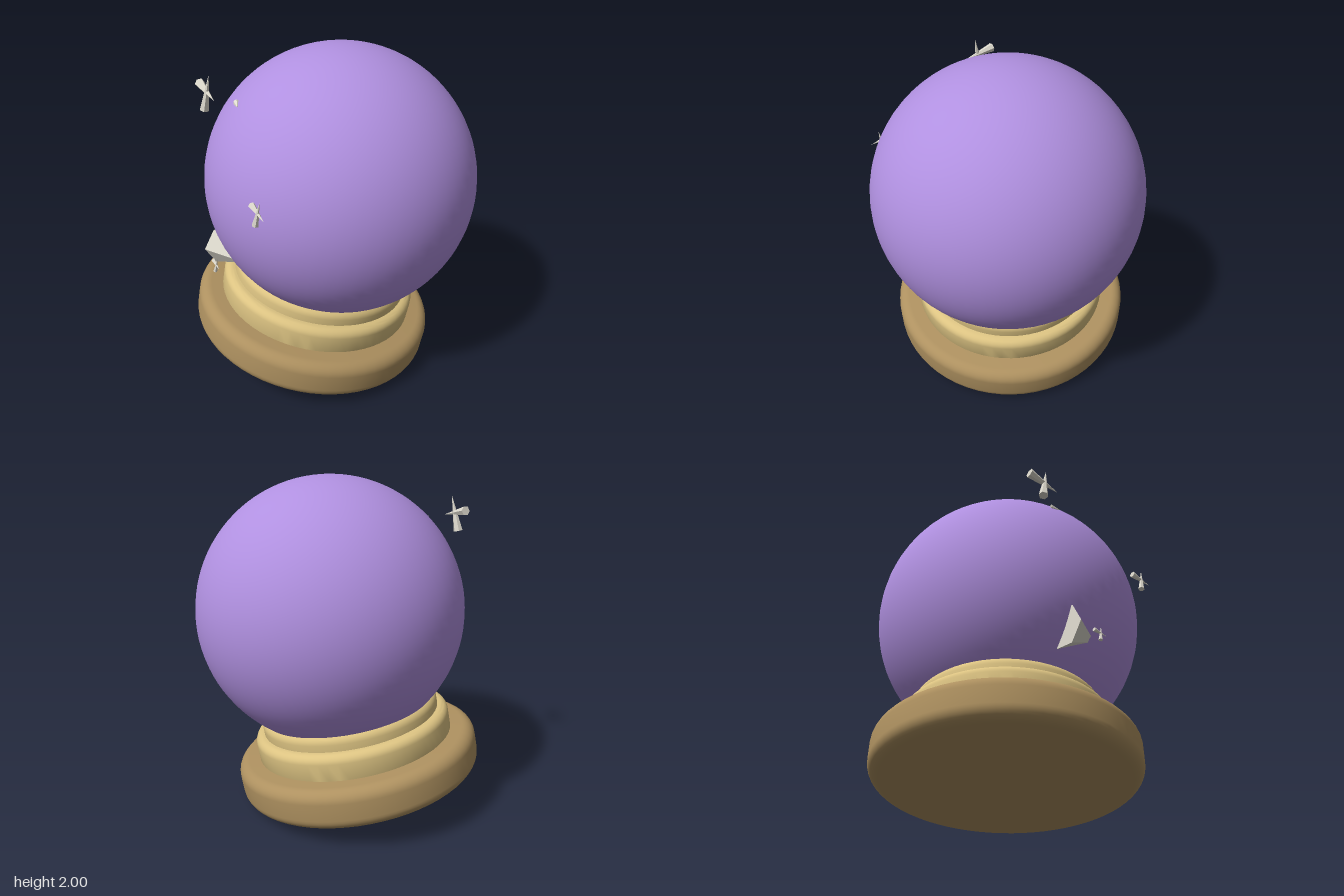
import * as THREE from 'three';
import { toCreasedNormals } from 'three/addons/utils/BufferGeometryUtils.js';

const mat = (name, color, opts = {}) => {
  const m = new THREE.MeshStandardMaterial({ color, ...opts });
  m.name = name;
  return m;
};

// Turned disc with rounded rims; heights are measured along the stand axis.
function roundedDisc(radius, bottom, top, lowerBevel, upperBevel) {
  const pts = [new THREE.Vector2(0, bottom)];
  const steps = 8;
  const arc = (cy, b, from) => {
    for (let i = 0; i <= steps; i++) {
      const a = from + (i / steps) * Math.PI / 2;
      pts.push(new THREE.Vector2(radius - b + b * Math.cos(a), cy + b * Math.sin(a)));
    }
  };
  arc(bottom + lowerBevel, lowerBevel, -Math.PI / 2);
  arc(top - upperBevel, upperBevel, 0);
  pts.push(new THREE.Vector2(0, top));
  return toCreasedNormals(new THREE.LatheGeometry(pts, 64), 0.6);
}

// Six-sided spike running from the centre of its base to its tip.
function spike(base, tip, radius, material, name) {
  const a = new THREE.Vector3(...base), b = new THREE.Vector3(...tip);
  const dir = b.clone().sub(a);
  const geo = toCreasedNormals(new THREE.ConeGeometry(radius, dir.length(), 6), 0.7);
  const mesh = new THREE.Mesh(geo, material);
  mesh.name = name;
  mesh.position.copy(a).add(b).multiplyScalar(0.5);
  mesh.quaternion.setFromUnitVectors(new THREE.Vector3(0, 1, 0), dir.normalize());
  return mesh;
}

export function createModel() {
  const model = new THREE.Group();
  model.name = 'crystalBall';
  const glass = mat('purple glass', 0xb090e0);
  const gold = mat('pale gold', 0xdcc382);
  const bronze = mat('bronze', 0xae9160);
  const silver = mat('silver', 0xdedace);

  // Ball and stand share one leaning axis
  const body = new THREE.Group();
  body.name = 'leaningBody';
  body.position.set(0.036, 1.19, -0.036);
  body.quaternion.setFromUnitVectors(
    new THREE.Vector3(0, 1, 0), new THREE.Vector3(0.132, 0.982, -0.132).normalize());
  model.add(body);
  const add = (name, geo, material) => {
    const mesh = new THREE.Mesh(geo, material);
    mesh.name = name;
    body.add(mesh);
  };
  add('ball', new THREE.SphereGeometry(0.81, 64, 48), glass);
  add('standFoot', roundedDisc(0.757, -1.08, -0.84, 0.07, 0.07), bronze);
  add('standMiddle', roundedDisc(0.615, -0.87, -0.69, 0.02, 0.05), gold);
  add('standCollar', roundedDisc(0.555, -0.72, -0.595, 0.02, 0.055), gold);

  // Sparkles: two crossed spikes each
  const sparkles = [
    [-0.287, 1.768, 0.642, 1],
    [0.412, 1.35, 0.747, 0.67],
    [-0.044, 0.826, 0.787, 0.42],
  ];
  sparkles.forEach(([x, y, z, s]) => {
    const sparkle = new THREE.Group();
    sparkle.name = 'sparkle';
    sparkle.position.set(x, y, z);
    sparkle.scale.setScalar(s);
    sparkle.add(
      spike([-0.105, 0.024, -0.012], [0.105, -0.02, 0.008], 0.028, silver, 'sideSpike'),
      spike([-0.02, -0.105, 0.012], [0.028, 0.105, -0.01], 0.028, silver, 'uprightSpike'));
    model.add(sparkle);
  });

  // Spikes half sunk into the ball
  model.add(spike([-0.186, 0.862, 0.655], [0.055, 0.848, 0.66], 0.13, silver, 'largeSpike'));
  model.add(spike([-0.135, 1.73, 0.54], [-0.08, 1.724, 0.566], 0.02, silver, 'smallSpike'));
  return model;
}
